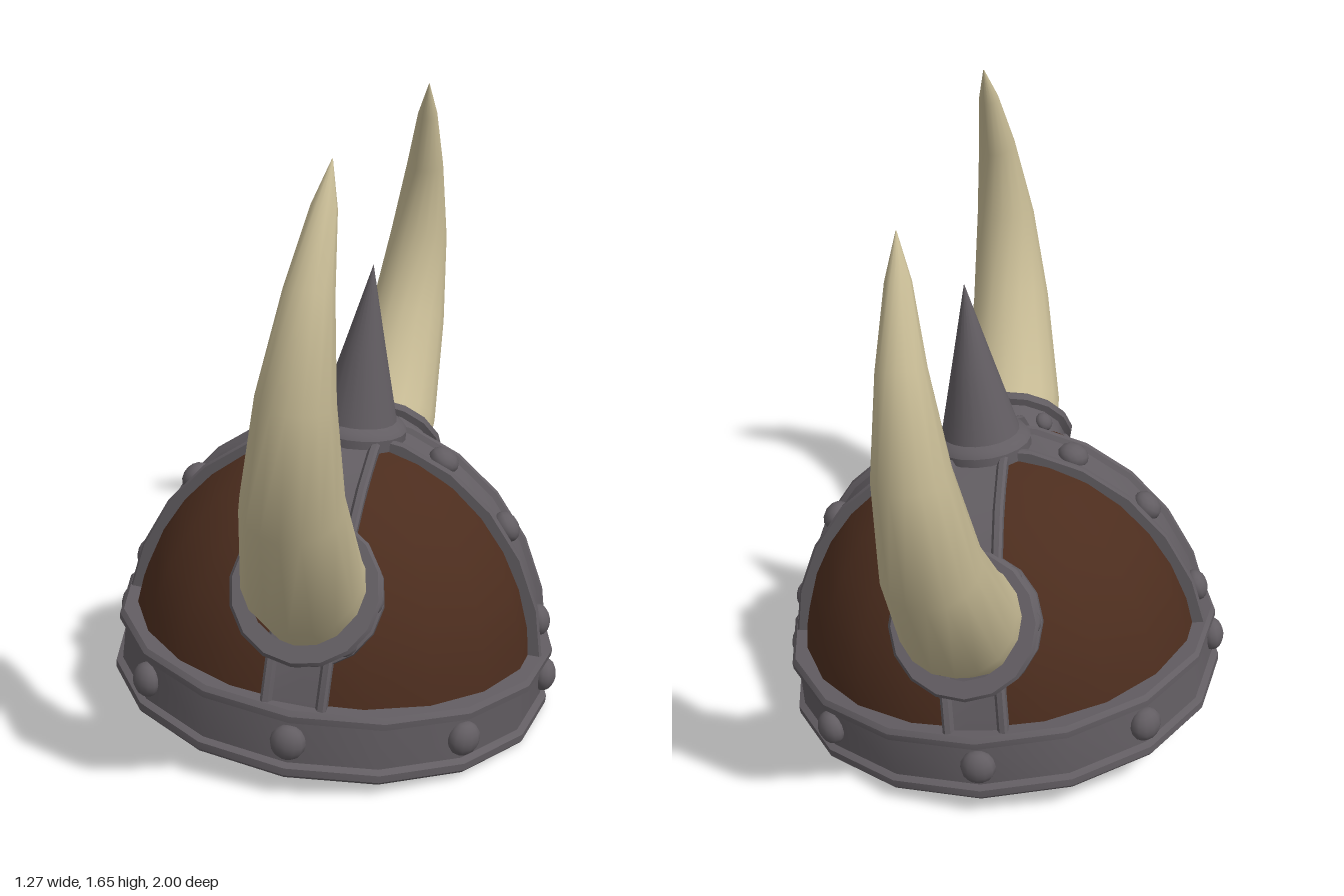
import * as THREE from 'three';
import { toCreasedNormals } from 'three/addons/utils/BufferGeometryUtils.js';

const iron = new THREE.MeshStandardMaterial({ color: 0x625d62 });
const leather = new THREE.MeshStandardMaterial({ color: 0x4c2d1e });
const bone = new THREE.MeshStandardMaterial({ color: 0xc6ba94 });
const V = (x, y, z) => new THREE.Vector3(x, y, z);

function add(parent, name, geometry, material) {
  const mesh = new THREE.Mesh(geometry, material);
  mesh.name = name;
  parent.add(mesh);
  return mesh;
}

function lathe(points, segments, crease = 0.6) {
  const g = new THREE.LatheGeometry(points.map(p => new THREE.Vector2(...p)), segments);
  return toCreasedNormals(g, crease);
}

// Skin a list of closed rings, each with the same number of points
function loft(rings, crease) {
  const n = rings[0].length, pos = [], index = [];
  rings.forEach(ring => ring.forEach(p => pos.push(p.x, p.y, p.z)));
  for (let i = 0; i < rings.length - 1; i++) {
    for (let j = 0; j < n; j++) {
      const a = i * n + j, b = i * n + (j + 1) % n;
      index.push(a, b, b + n, a, b + n, a + n);
    }
  }
  const g = new THREE.BufferGeometry();
  g.setAttribute('position', new THREE.Float32BufferAttribute(pos, 3));
  g.setIndex(index);
  g.computeVertexNormals();
  return toCreasedNormals(g, crease);
}

// Flattened round stud facing along a normal
function rivet(parent, position, normal, r) {
  const m = add(parent, 'rivet', new THREE.SphereGeometry(r, 12, 8), iron);
  m.scale.z = 0.75;
  m.position.copy(position);
  m.quaternion.setFromUnitVectors(V(0, 0, 1), normal.clone().normalize());
}

// Point on the dome's elliptical profile, grown outward by d
const BASE = 0.1;
const domePoint = (t, d = 0) => [(0.575 + d) * Math.cos(t), BASE + (0.635 + d) * Math.sin(t)];

function strap() {
  const section = [[0.085, -0.03], [0.085, 0.018], [0.078, 0.024], [0.064, 0.022], [0.056, 0.008]];
  const full = [...section, ...section.map(([w, h]) => [-w, h]).reverse()];
  const rings = [], steps = 12;
  for (let i = 0; i <= steps; i++) {
    const t = 0.1 + (Math.PI - 0.2) * i / steps;
    const [x, y] = domePoint(t);
    const nrm = V(Math.cos(t) / 0.575, Math.sin(t) / 0.635, 0).normalize();
    rings.push(full.map(([w, h]) => V(x + nrm.x * h, y + nrm.y * h, w)));
  }
  return loft(rings, 0.55);
}

function horn() {
  // centre z, centre y, radius
  const path = [[0.41, 0.42, 0.15], [0.637, 0.573, 0.15], [0.845, 0.842, 0.12], [0.912, 1.103, 0.09],
    [0.872, 1.332, 0.057], [0.79, 1.498, 0.03], [0.745, 1.595, 0.001]];
  const sides = 16;
  const rings = path.map(([z, y, r], i) => {
    const p = path[Math.max(i - 1, 0)], q = path[Math.min(i + 1, path.length - 1)];
    const t = V(0, q[1] - p[1], q[0] - p[0]).normalize();
    return Array.from({ length: sides }, (_, j) => {
      const a = j / sides * Math.PI * 2;
      return V(r * Math.cos(a), y + r * Math.sin(a) * t.z, z - r * Math.sin(a) * t.y);
    });
  });
  // closed inner end
  rings.unshift(rings[0].map(() => V(0, path[0][1], path[0][0])));
  return loft(rings, 1.0);
}

function hornSide(name) {
  const side = new THREE.Group();
  side.name = name;
  add(side, 'horn', horn(), bone);
  const cuff = new THREE.Group();
  cuff.name = 'hornCuff';
  cuff.position.set(0, 0.51, 0.575);
  cuff.rotation.x = 1.04;
  add(cuff, 'cuffRing', lathe([[0.13, -0.16], [0.178, -0.16], [0.186, -0.15], [0.186, -0.12], [0.168, -0.11],
    [0.168, -0.035], [0.188, -0.027], [0.192, -0.01], [0.184, 0], [0.14, 0]], 16), iron);
  for (let i = 0; i < 8; i++) {
    const a = i * Math.PI / 4, n = V(Math.sin(a), 0, Math.cos(a));
    rivet(cuff, n.clone().multiplyScalar(0.168).setY(-0.072), n, 0.029);
  }
  side.add(cuff);
  return side;
}

export function createModel() {
  const model = new THREE.Group();
  model.name = 'hornedHelmet';
  const helmet = new THREE.Group();
  helmet.name = 'helmet';
  helmet.position.set(-0.01, 0.068, 0);
  helmet.rotation.z = -0.096;
  model.add(helmet);

  // Leather shell with an iron lining
  const arc = d => Array.from({ length: 9 }, (_, i) => {
    const [x, y] = domePoint(0.08 + (Math.PI / 2 - 0.08) * i / 8, d);
    return [Math.max(x, 0), y];
  });
  add(helmet, 'dome', lathe(arc(0), 20, 1), leather);
  add(helmet, 'lining', lathe([...arc(-0.02).reverse(), [0.56, 0.0]], 20, 1), iron);

  // Brow band with raised rims
  add(helmet, 'browBand', lathe([[0.555, 0], [0.615, 0], [0.621, 0.008], [0.621, 0.028], [0.603, 0.036],
    [0.6, 0.15], [0.617, 0.157], [0.618, 0.175], [0.608, 0.188], [0.555, 0.188]], 16), iron);
  for (let i = 0; i < 8; i++) {
    const a = i * Math.PI / 4, n = V(Math.sin(a), 0, Math.cos(a));
    rivet(helmet, n.clone().multiplyScalar(0.604).setY(0.095), n, 0.047);
  }

  // Crossed straps over the dome
  add(helmet, 'sideStrap', strap(), iron);
  add(helmet, 'frontStrap', strap(), iron).rotation.y = Math.PI / 2;
  for (const s of [-1, 1]) {
    for (const t of [0.25, 0.71, 1.13]) {
      const [x, y] = domePoint(t, 0.01);
      rivet(helmet, V(s * x, y, 0), V(s * Math.cos(t), Math.sin(t), 0), 0.044);
    }
  }

  // Top plate and spike
  add(helmet, 'topSpike', lathe([[0.138, 0.71], [0.138, 0.748], [0.128, 0.762], [0.108, 0.772], [0.055, 0.98], [0, 1.2]], 20), iron);

  // Horns at front and back
  helmet.add(hornSide('frontHorn'));
  const back = hornSide('backHorn');
  back.rotation.y = Math.PI;
  helmet.add(back);
  return model;
}
